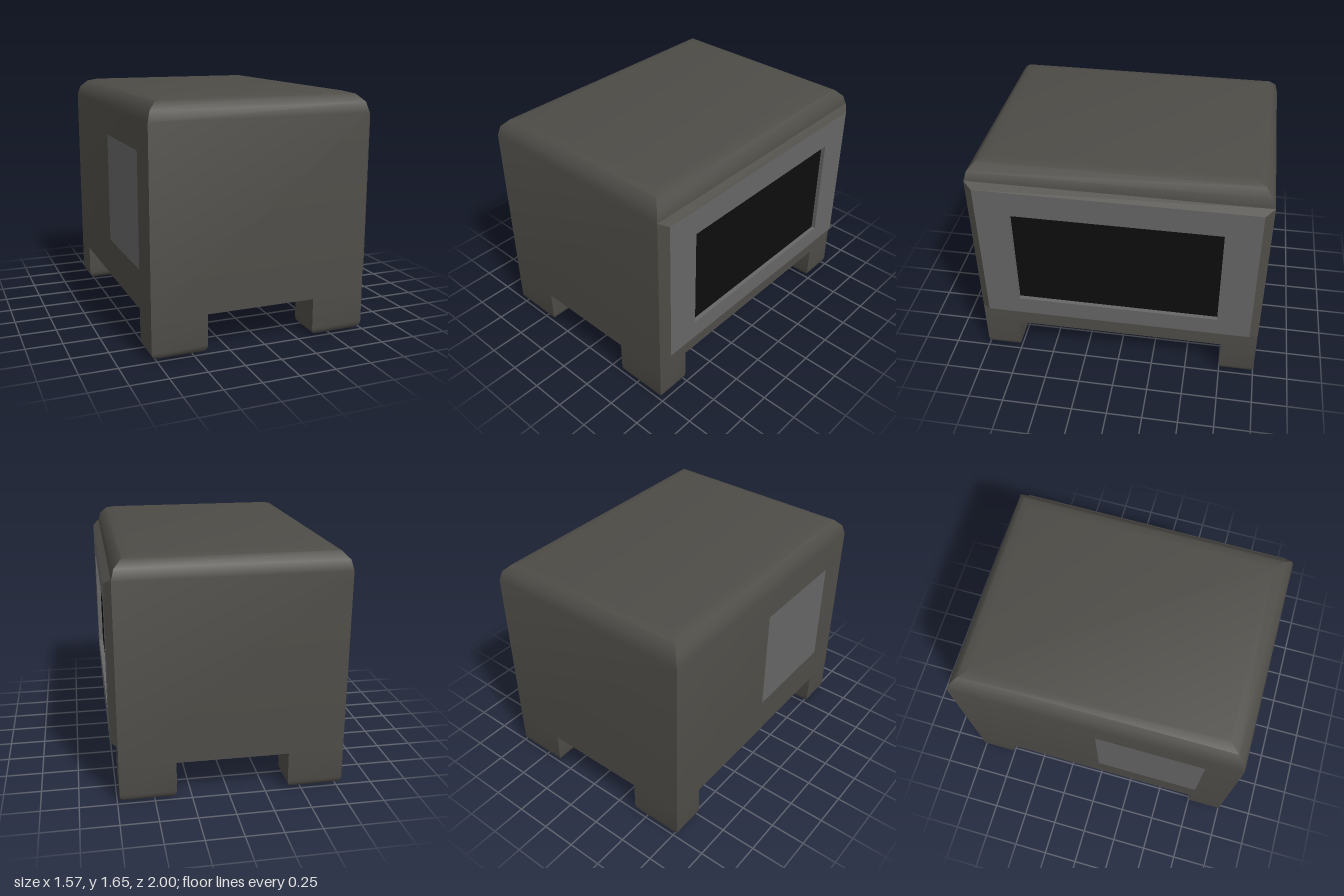
import * as THREE from 'three';
import { toCreasedNormals } from 'three/addons/utils/BufferGeometryUtils.js';

const dark = new THREE.MeshStandardMaterial({ color: 0x4e4c47 });
const grey = new THREE.MeshStandardMaterial({ color: 0x666666 });
const black = new THREE.MeshStandardMaterial({ color: 0x0d0d0d });

// Skin rectangular rings [x0, x1, z0, z1, y], listed upwards, with optional end caps.
function loft(rings, capBottom, capTop) {
  const pos = [];
  const corners = rings.map(([x0, x1, z0, z1, y]) =>
    [[x0, y, z0], [x0, y, z1], [x1, y, z1], [x1, y, z0]]);
  const quad = (a, b, c, d) => pos.push(...a, ...b, ...c, ...a, ...c, ...d);
  for (let r = 0; r + 1 < corners.length; r++) {
    const lo = corners[r], up = corners[r + 1];
    for (let i = 0; i < 4; i++) {
      const j = (i + 1) % 4;
      quad(lo[i], lo[j], up[j], up[i]);
    }
  }
  if (capTop) quad(...corners[corners.length - 1]);
  if (capBottom) quad(...[...corners[0]].reverse());
  const g = new THREE.BufferGeometry();
  g.setAttribute('position', new THREE.Float32BufferAttribute(pos, 3));
  return toCreasedNormals(g, 0.6);
}

// Square-cornered block whose upper rim is rounded on all four sides.
function roundedTop(x0, x1, z0, z1, yLow, yHigh, radius, steps) {
  const rings = [[x0, x1, z0, z1, yLow]];
  for (let i = 0; i <= steps; i++) {
    const a = (i / steps) * Math.PI / 2;
    const inset = radius * (1 - Math.cos(a));
    rings.push([x0 + inset, x1 - inset, z0 + inset, z1 - inset,
      yHigh - radius + radius * Math.sin(a)]);
  }
  return rings;
}

export function createModel() {
  const group = new THREE.Group();
  const add = (name, geometry, material) => {
    const mesh = new THREE.Mesh(geometry, material);
    mesh.name = name;
    group.add(mesh);
    return mesh;
  };
  const left = -0.785, right = 0.735, floor = 0.27;

  // Main housing
  add('housing', loft(roundedTop(left, right, -1, 1, floor, 1.655, 0.138, 3), true, true), dark);

  // Four feet, rounded at the ground
  const footGeometry = loft(roundedTop(-0.19, 0.19, -0.125, 0.125, -floor, 0, 0.06, 4), false, true)
    .rotateX(Math.PI);
  for (const x of [left + 0.19, right - 0.19]) {
    for (const z of [-0.875, 0.875]) {
      add('foot', footGeometry, dark).position.set(x, 0, z);
    }
  }

  // Display panel on the +x side: bevelled rim, flat frame, recess and screen
  const rim = [-1.525, -0.415, -1, 1, right];
  const outer = [-1.49, -0.425, -0.94, 0.94, 0.78];
  const inner = [-1.305, -0.56, -0.705, 0.705, 0.78];
  const deep = [-1.305, -0.56, -0.705, 0.705, 0.75];
  const sideways = (rings, cap) => loft(rings, false, cap).rotateZ(-Math.PI / 2);
  add('panelBevel', sideways([rim, outer]), dark);
  add('panelFrame', sideways([outer, inner, deep]), grey);
  add('screen', sideways([deep], true), black);

  // Flat plate on the -x side
  const plate = add('sidePlate', new THREE.PlaneGeometry(0.757, 0.776), grey);
  plate.rotation.y = -Math.PI / 2;
  plate.position.set(left - 0.003, 0.93, 0.385);

  return group;
}
